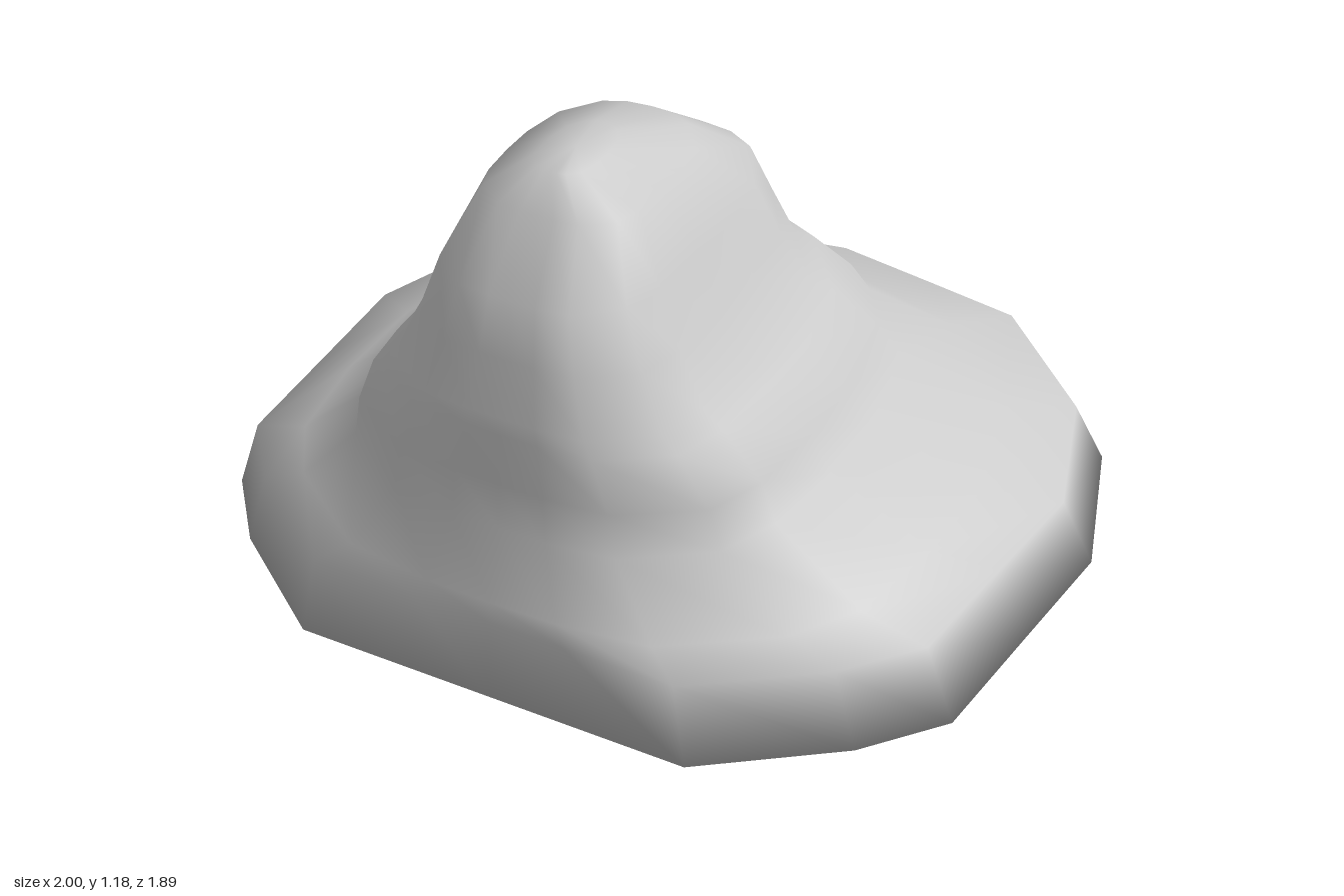
import * as THREE from 'three';

// Half of the footprint (x, z), running from the back middle to the front middle
const HALF = [[0, -0.95], [0.28, -0.9], [0.55, -0.85], [0.87, -0.53], [1, -0.13],
  [0.97, 0.2], [0.94, 0.54], [0.79, 0.72], [0.49, 0.94], [0.2, 0.94], [0, 0.94]];
const OUTLINE = [...HALF, ...HALF.slice(1, -1).reverse().map(([x, z]) => [-x, z])];

// Each ring: y at back, y at front, half width, back z, front z,
// share of footprint shape, squareness of the front (2 = round)
const RINGS = [
  [0, 0, 1, -0.945, 0.945, 1, 2],
  [0.15, 0.2, 0.93, -0.88, 0.93, 1, 2],
  [0.23, 0.25, 0.78, -0.66, 0.92, 0.3, 2.6],
  [0.43, 0.42, 0.55, -0.42, 0.87, 0, 3.2],
  [0.53, 0.53, 0.51, -0.35, 0.86, 0, 3.6],
  [0.65, 0.65, 0.42, -0.24, 0.845, 0, 4],
  [0.69, 0.69, 0.38, -0.18, 0.84, 0, 4],
  [0.82, 0.82, 0.31, -0.13, 0.81, 0, 4],
  [0.95, 0.95, 0.26, -0.07, 0.78, 0, 4],
  [1.11, 1.1, 0.19, 0.17, 0.67, 0, 3.5],
  [1.175, 1.175, 0.07, 0.38, 0.61, 0, 3],
];

function ringPoints([yBack, yFront, halfWidth, back, front, share, squareness]) {
  return OUTLINE.map(([x, z]) => {
    const p = z > 0 ? squareness : 2.4;
    const r = (Math.abs(x) ** p + Math.abs(z) ** p) ** (1 / p);
    const u = THREE.MathUtils.lerp(x / r, x, share);
    const v = THREE.MathUtils.lerp(z / r, z / 0.945, share);
    return [u * halfWidth,
      THREE.MathUtils.lerp(yBack, yFront, (v + 1) / 2),
      (back + front) / 2 + v * (front - back) / 2];
  });
}

export function createModel() {
  const group = new THREE.Group();
  group.name = 'rockMound';
  const n = OUTLINE.length;

  // Sloping sides, lofted through the rings
  const points = RINGS.flatMap(ringPoints);
  const index = [];
  for (let k = 0; k < RINGS.length - 1; k++) {
    for (let i = 0; i < n; i++) {
      const j = (i + 1) % n;
      const a = k * n + i, b = k * n + j;
      index.push(a, a + n, b + n, a, b + n, b);
    }
  }

  // Summit and underside, sharing the edge vertices so the shading stays soft
  const last = (RINGS.length - 1) * n;
  const summit = points.push([0, 1.18, 0.5]) - 1;
  const under = points.push([0, 0, 0]) - 1;
  for (let i = 0; i < n; i++) {
    const j = (i + 1) % n;
    index.push(summit, last + j, last + i, under, i, j);
  }

  const geometry = new THREE.BufferGeometry();
  geometry.setAttribute('position', new THREE.Float32BufferAttribute(points.flat(), 3));
  geometry.setIndex(index);
  geometry.computeVertexNormals();
  const mound = new THREE.Mesh(geometry, new THREE.MeshStandardMaterial({ color: 0xcccccc }));
  mound.name = 'mound';
  group.add(mound);
  return group;
}
